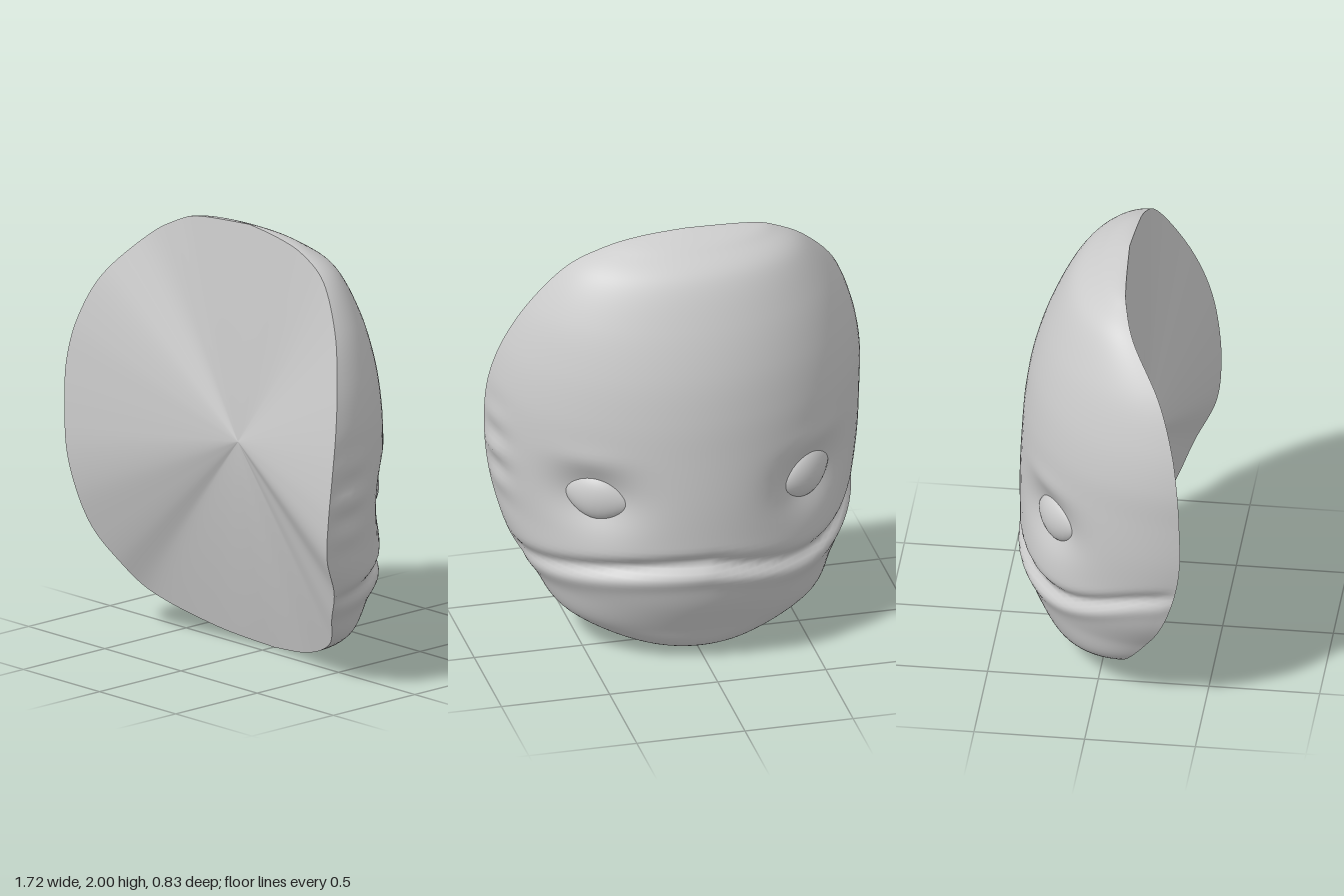
import * as THREE from 'three';

// Cross-sections, bottom to top:
// [y, width +x, width -x, rim z +x, rim z -x, face z]
const SECTIONS = [
  [0, 0, 0, -0.07, -0.07, -0.07],
  [0.05, 0.3, 0.3, 0, 0, -0.22],
  [0.17, 0.57, 0.59, 0.12, 0.12, -0.29],
  [0.33, 0.68, 0.7, 0.21, 0.24, -0.37],
  [0.48, 0.77, 0.78, 0.28, 0.32, -0.405],
  [0.66, 0.82, 0.82, 0.37, 0.38, -0.41],
  [0.85, 0.85, 0.85, 0.39, 0.41, -0.41],
  [1.06, 0.86, 0.86, 0.375, 0.41, -0.4],
  [1.25, 0.845, 0.86, 0.34, 0.4, -0.385],
  [1.45, 0.79, 0.82, 0.28, 0.37, -0.35],
  [1.66, 0.69, 0.73, 0.2, 0.3, -0.28],
  [1.85, 0.54, 0.57, 0.13, 0.17, -0.18],
  [1.94, 0.37, 0.43, 0.1, 0.12, -0.06],
  [1.98, 0.2, 0.3, 0.09, 0.1, 0.02],
  [2, 0, 0, 0.08, 0.08, 0.08],
];
const ROWS = (SECTIONS.length - 1) * 8;
const COLS = 56;
const EYE = { angle: 0.66, x: 0.475, y: 0.84, z: -0.175 };
const gauss = (d, width) => Math.exp(-((d / width) ** 2));

// Smoothly interpolated section; f counts sections from the bottom
function sectionAt(f) {
  const last = SECTIONS.length - 1;
  const i = Math.min(Math.floor(f), last - 1);
  const t = f - i;
  const at = (k) => SECTIONS[Math.max(0, Math.min(last, k))];
  return SECTIONS[0].map((_, c) => {
    const [p0, p1, p2, p3] = [at(i - 1)[c], at(i)[c], at(i + 1)[c], at(i + 2)[c]];
    const m1 = (p2 - p0) / 2, m2 = (p3 - p1) / 2, d = p1 - p2;
    return p1 + m1 * t + (-3 * d - 2 * m1 - m2) * t * t + (2 * d + m1 + m2) * t ** 3;
  });
}
const rowSection = (i) => sectionAt((i / ROWS) * (SECTIONS.length - 1));

// The mouth is lopsided: its -x end curls up, its +x end droops
function mouthHeight(angle) {
  const s = Math.abs(Math.sin(angle));
  if (angle < 0) return 0.545 - 0.14 * s + 0.25 * s ** 6;
  return 0.43 + 0.115 * Math.cos(angle) ** 1.5;
}

// Relief of the face: mouth groove, lower lip, eye sockets, brows and edge ripples
function relief(angle, y) {
  const a = Math.abs(angle);
  const fade = 0.4 + 0.6 * Math.cos(a);
  const aboveMouth = y - mouthHeight(Math.max(-1.57, Math.min(1.57, angle)));
  let d = -0.042 * fade * gauss(aboveMouth, 0.035);
  d += 0.015 * fade * gauss(aboveMouth + 0.07, 0.045);
  const across = (a - EYE.angle) * 0.84;
  d -= 0.075 * gauss(across, 0.2) * gauss(y - EYE.y, 0.14);
  d += 0.01 * gauss(across, 0.16) * gauss(y - EYE.y - 0.2, 0.06);
  if (angle > 0) d += 0.012 * gauss(a - 1.4, 0.15) * gauss(y - 0.9, 0.2) * Math.sin(y * 36);
  return d;
}

function facePoint(s, angle) {
  const [y, wp, wm, rp, rm, back] = s;
  const w = angle > 0 ? wp : wm;
  const rim = angle > 0 ? rp : rm;
  const onRim = Math.abs(angle) > 1.57;
  const d = onRim ? 0 : relief(angle, y) * Math.min(1, w / 0.5);
  return [
    (w + d) * Math.sin(angle), y,
    back + (rim - back) * (1 - Math.cos(angle)) - d * Math.cos(angle),
  ];
}

function meshGeometry(pos, index) {
  const g = new THREE.BufferGeometry();
  g.setAttribute('position', new THREE.Float32BufferAttribute(pos, 3));
  g.setIndex(index);
  g.computeVertexNormals();
  return g;
}

// Rounded face swept from rim to rim, section by section
function faceGeometry() {
  const pos = [], index = [];
  for (let i = 0; i <= ROWS; i++) {
    const s = rowSection(i);
    for (let j = 0; j <= COLS; j++) {
      pos.push(...facePoint(s, (j / COLS - 0.5) * Math.PI));
      if (i === ROWS || j === COLS) continue;
      const a = i * (COLS + 1) + j, b = a + 1, c = a + COLS + 1, e = c + 1;
      index.push(a, c, b, b, c, e);
    }
  }
  return meshGeometry(pos, index);
}

// Shallow saddle-like hollow: spokes from one centre point to the rim,
// rounding over where the rim falls behind the centre
function hollowGeometry() {
  const rim = [];
  for (let i = 0; i < ROWS; i++) rim.push(facePoint(rowSection(i), Math.PI / 2));
  for (let i = ROWS; i > 0; i--) rim.push(facePoint(rowSection(i), -Math.PI / 2));
  const [cy, cz] = [1, 0.15];
  const rings = 10, n = rim.length;
  const pos = [], index = [];
  for (let r = 0; r <= rings; r++) {
    const f = r / rings;
    for (let k = 0; k < n; k++) {
      const [x, y, z] = rim[k];
      pos.push(x * f, cy + (y - cy) * f, cz + (z - cz) * (z < cz ? f ** 1.3 : f));
      if (r === rings) continue;
      const a = r * n + k, b = r * n + ((k + 1) % n);
      index.push(a, a + n, b + n);
      if (r > 0) index.push(a, b + n, b);
    }
  }
  return meshGeometry(pos, index);
}

// Almond-shaped eyeball, pinched towards both corners
function eyeGeometry() {
  const g = new THREE.SphereGeometry(1, 28, 20);
  const p = g.attributes.position;
  for (let i = 0; i < p.count; i++) {
    const x = p.getX(i);
    const pinch = 1 - 0.35 * x * x;
    p.setXYZ(i, x * 0.17, p.getY(i) * 0.115 * pinch, p.getZ(i) * 0.07 * pinch);
  }
  g.computeVertexNormals();
  return g;
}

export function createModel() {
  const group = new THREE.Group();
  group.name = 'mask';
  const grey = new THREE.MeshStandardMaterial({ color: 0xcccccc });
  grey.name = 'light grey';
  const add = (name, geometry) => {
    const m = new THREE.Mesh(geometry, grey);
    m.name = name;
    group.add(m);
    return m;
  };

  add('face', faceGeometry());
  add('hollowFront', hollowGeometry());

  // Eyes sit deep in the sockets, outer corners raised
  const eye = eyeGeometry();
  for (const side of [1, -1]) {
    const m = add(side > 0 ? 'leftEye' : 'rightEye', eye);
    m.position.set(side * EYE.x, EYE.y, EYE.z);
    m.rotation.order = 'YXZ';
    m.rotation.y = Math.PI - side * 0.64;
    m.rotation.z = -side * 0.12;
  }
  return group;
}
